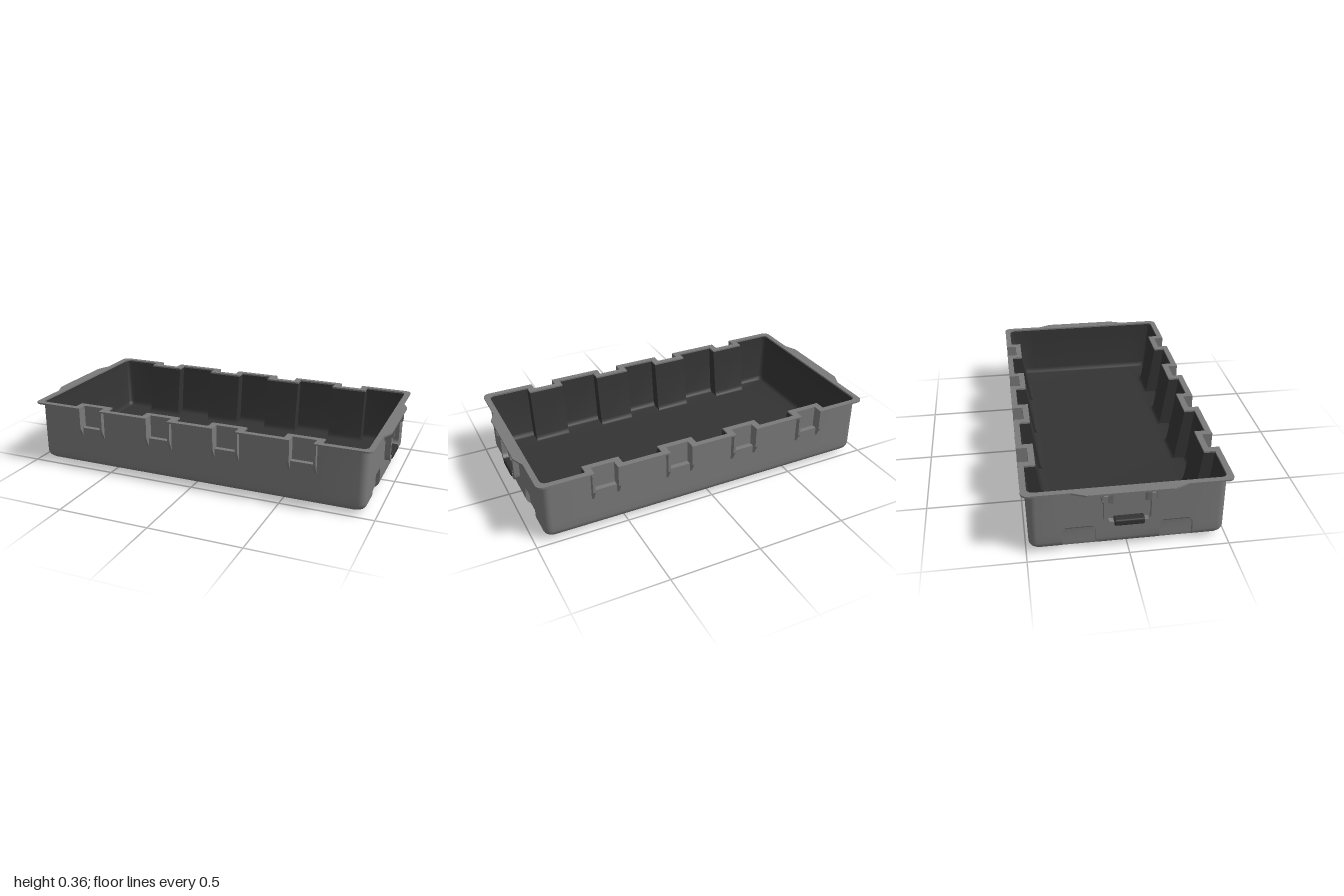
import * as THREE from 'three';
import { toCreasedNormals } from 'three/addons/utils/BufferGeometryUtils.js';
import { RoundedBoxGeometry } from 'three/addons/geometries/RoundedBoxGeometry.js';

const TOP = 0.362, RIM = 0.009;
const NOTCHES = [0.613, 0.195]; // notch centres along each long side, mirrored
const NOTCH_HALF = 0.063;

const grey = new THREE.MeshStandardMaterial({ color: 0x7a7a7a });
const dark = new THREE.MeshStandardMaterial({ color: 0x333333 });

function add(parent, name, geometry, x = 0, y = 0, z = 0, material = grey) {
  const mesh = new THREE.Mesh(geometry, material);
  mesh.name = name;
  mesh.position.set(x, y, z);
  parent.add(mesh);
}

// Rounded corner of the +x +z quarter
function corner(hx, hz, r, n = 6) {
  return Array.from({ length: n + 1 }, (_, i) => {
    const a = (i / n) * Math.PI / 2;
    return [hx - r + r * Math.cos(a), hz - r + r * Math.sin(a)];
  });
}

// Steps of depth d along the long side of the quarter
function notches(hz, d, h) {
  return NOTCHES.flatMap(c => [[c + h, hz], [c + h, hz - d], [c - h, hz - d], [c - h, hz]]);
}

// Mirror a quarter into a full closed outline
function fullLoop(q) {
  const rev = [...q].reverse();
  return [...q, ...rev.map(([x, z]) => [-x, z]), ...q.map(([x, z]) => [-x, -z]), ...rev.map(([x, z]) => [x, -z])];
}

// Tray outline: end pocket down to px (half width w), corner, side notches
function trayLoop({ hx, hz, r = 0.04, px = 9, w = 0.083, d = 0, h = NOTCH_HALF }) {
  const p = Math.min(hx, px), c = 0.24;
  return fullLoop([[hx, c - w], [p, c - w], [p, c + w], [hx, c + w], ...corner(hx, hz, r), ...notches(hz, d, h)]);
}

// Skin a stack of outlines { y, loop }; optionally cap the first and the last
function loft(levels, capFirst, capLast, crease = 0.6) {
  const pos = [];
  const tri = (...pts) => pts.forEach(p => pos.push(...p));
  const at = (L, i) => { const p = L.loop[i % L.loop.length]; return [p[0], L.y, p[1]]; };
  for (let j = 0; j < levels.length - 1; j++) {
    const A = levels[j], B = levels[j + 1];
    for (let i = 0; i < A.loop.length; i++) {
      const a = at(A, i), b = at(B, i), c = at(A, i + 1), e = at(B, i + 1);
      tri(a, b, c);
      tri(c, b, e);
    }
  }
  const cap = (L, up) => {
    const pts = L.loop.map(p => new THREE.Vector2(p[0], p[1]));
    for (const [a, b, c] of THREE.ShapeUtils.triangulateShape(pts, [])) {
      const flip = THREE.ShapeUtils.area([pts[a], pts[b], pts[c]]) > 0 === up;
      if (flip) tri(at(L, a), at(L, c), at(L, b));
      else tri(at(L, a), at(L, b), at(L, c));
    }
  };
  if (capFirst) cap(levels[0], false);
  if (capLast) cap(levels[levels.length - 1], true);
  const g = new THREE.BufferGeometry();
  g.setAttribute('position', new THREE.Float32BufferAttribute(pos, 3));
  return toCreasedNormals(g, crease);
}

// Extrude a profile of [x, y] points along z, centred on z = 0
function plate(points, thickness) {
  const s = new THREE.Shape(points.map(p => new THREE.Vector2(...p)));
  return new THREE.ExtrudeGeometry(s, { depth: thickness, bevelEnabled: false }).translate(0, 0, -thickness / 2);
}

const INNER_TOP = { hx: 0.94, hz: 0.482, r: 0.03, d: 0.057, h: 0.1 };

function outerGeometry() {
  const levels = [];
  const level = (y, o) => levels.push({ y, loop: trayLoop(o) });
  const hx = 0.945, hz = 0.485, R = 0.045, base = 0.016;
  // rounded bottom edge, cut by the end pockets
  for (let i = 0; i <= 6; i++) {
    const a = (i / 6) * Math.PI / 2, inset = R * (1 - Math.sin(a));
    level(base + R * (1 - Math.cos(a)), { hx: hx - inset, hz: hz - inset, px: 0.924 });
  }
  // arched pocket roof slopes back out to the wall
  level(0.105, { hx, hz, px: 0.924 });
  level(0.122, { hx, hz, px: 0.926, w: 0.08 });
  level(0.134, { hx, hz, px: 0.937, w: 0.075 });
  level(0.141, { hx, hz, px: hx, w: 0.064 });
  // ledge and recessed wall of the side notches
  level(0.24, { hx, hz });
  level(0.24, { hx, hz, d: 0.028 });
  level(TOP - RIM, { hx, hz, d: 0.028 });
  return loft(levels, true, false);
}

// Drafted inner wall with a fillet into the floor
function innerGeometry() {
  const rows = [
    [TOP - RIM, 0.94, 0.482, 0.057], [0.085, 0.912, 0.451, 0.068],
    [0.07, 0.907, 0.446, 0.068], [0.061, 0.9, 0.439, 0.068], [0.057, 0.89, 0.43, 0.068],
  ];
  return loft(rows.map(([y, hx, hz, d]) => ({ y, loop: trayLoop({ ...INNER_TOP, hx, hz, d }) })), false, true);
}

function rimGeometry() {
  const toVec = l => l.map(p => new THREE.Vector2(...p));
  const hx = 0.97, hz = 0.513;
  const outer = fullLoop([[1, 0.21], [hx, 0.28], ...corner(hx, hz, 0.035), ...notches(hz, 0.056, NOTCH_HALF)]);
  const shape = new THREE.Shape(toVec(outer));
  shape.holes.push(new THREE.Path(toVec(trayLoop(INNER_TOP))));
  return new THREE.ExtrudeGeometry(shape, { depth: RIM, bevelEnabled: false }).rotateX(Math.PI / 2);
}

// U-shaped bail, drawn in z and y, extruded along x
function bailGeometry() {
  const s = new THREE.Shape();
  const o = 0.126, i = 0.104, top = 0.335, lo = 0.16, li = 0.184, r = 0.045, q = 0.025;
  s.moveTo(-o, top);
  s.lineTo(-o, lo + r);
  s.quadraticCurveTo(-o, lo, -o + r, lo);
  s.lineTo(o - r, lo);
  s.quadraticCurveTo(o, lo, o, lo + r);
  s.lineTo(o, top);
  s.lineTo(i, top);
  s.lineTo(i, li + q);
  s.quadraticCurveTo(i, li, i - q, li);
  s.lineTo(-i + q, li);
  s.quadraticCurveTo(-i, li, -i, li + q);
  s.lineTo(-i, top);
  s.closePath();
  const g = new THREE.ExtrudeGeometry(s, { depth: 0.03, bevelEnabled: false, curveSegments: 8 });
  return g.rotateY(Math.PI / 2).translate(0.955, 0, 0);
}

function createHandle() {
  const handle = new THREE.Group();
  add(handle, 'handleBail', bailGeometry());
  add(handle, 'handleGrip', new RoundedBoxGeometry(0.048, 0.034, 0.15, 3, 0.009), 0.967, 0.177, 0, dark);
  for (const s of [-1, 1]) {
    add(handle, 'outerBracket', plate([[0.94, 0.303], [0.99, 0.303], [0.998, 0.311], [0.998, 0.354], [0.94, 0.354]], 0.009), 0, 0, s * 0.131);
    add(handle, 'innerBracket', plate([[0.94, 0.265], [0.985, 0.295], [0.997, 0.354], [0.94, 0.354]], 0.022), 0, 0, s * 0.092);
    add(handle, 'pivotPin', new THREE.CylinderGeometry(0.007, 0.007, 0.05, 12).rotateX(Math.PI / 2), 0.97, 0.326, s * 0.113);
  }
  return handle;
}

export function createModel() {
  const model = new THREE.Group();
  model.name = 'tray';
  add(model, 'trayShell', outerGeometry());
  add(model, 'trayLining', innerGeometry(), 0, 0, 0, dark);
  add(model, 'rim', rimGeometry(), 0, TOP, 0);

  // Ribs beside every notch
  const rib = plate([[0.48, TOP - 0.005], [0.512, TOP - 0.005], [0.512, 0.245], [0.484, 0.19], [0.48, 0.19]], 0.013).rotateY(-Math.PI / 2);
  const backRib = rib.clone().rotateY(Math.PI);
  for (const c of NOTCHES) for (const sx of [-1, 1]) for (const e of [-1, 1]) {
    const x = sx * c + e * (NOTCH_HALF + 0.0065);
    add(model, 'frontRib', rib, x);
    add(model, 'backRib', backRib, x);
  }

  // Tapered runners under the floor
  const oval = (hx, hz) => fullLoop(corner(hx, hz, hx * 0.9));
  const runner = loft([{ y: 0, loop: oval(0.046, 0.385) }, { y: 0.017, loop: oval(0.064, 0.403) }], true, true);
  for (const x of [0.672, 0.43, 0.182]) for (const s of [-1, 1]) add(model, 'floorRunner', runner, s * x);

  // Drop handles at both ends
  const left = createHandle(), right = createHandle();
  left.name = 'leftHandle';
  right.name = 'rightHandle';
  right.rotation.y = Math.PI;
  model.add(left, right);
  return model;
}
